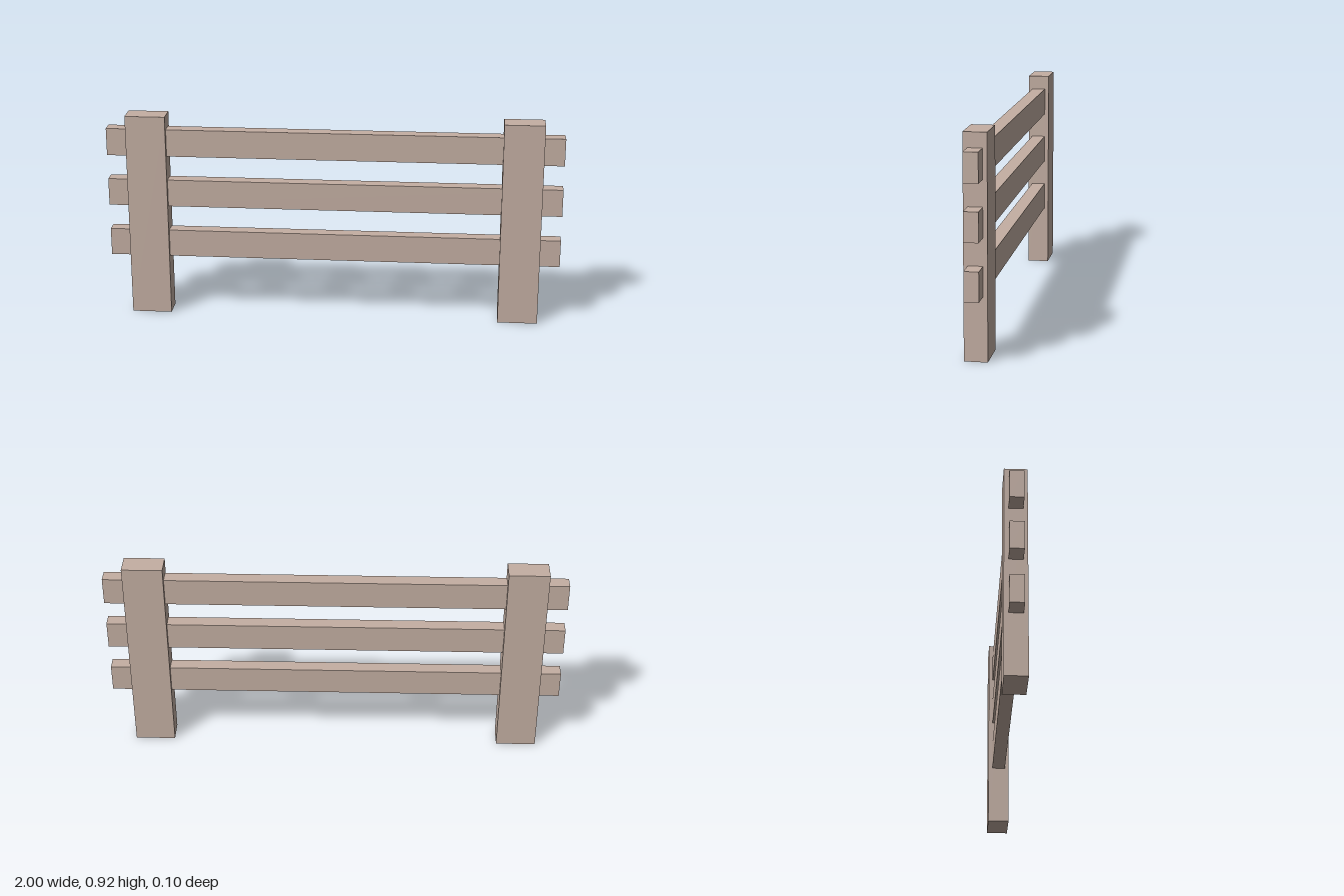
import * as THREE from 'three';

export function createModel() {
  const group = new THREE.Group();
  const wood = new THREE.MeshStandardMaterial({ color: 0xc4afa3, flatShading: true });

  function addBeam(name, width, height, depth, x, y) {
    const mesh = new THREE.Mesh(new THREE.BoxGeometry(width, height, depth), wood);
    mesh.name = name;
    mesh.position.set(x, y, 0);
    group.add(mesh);
  }

  // Two upright posts
  const postHeight = 0.917;
  for (const [name, side] of [['leftPost', 1], ['rightPost', -1]]) {
    addBeam(name, 0.176, postHeight, 0.096, side * 0.823, postHeight / 2);
  }

  // Three rails running through the posts
  const rails = { lowerRail: 0.328, middleRail: 0.563, upperRail: 0.794 };
  for (const [name, y] of Object.entries(rails)) {
    addBeam(name, 2, 0.122, 0.06, 0, y);
  }

  return group;
}
